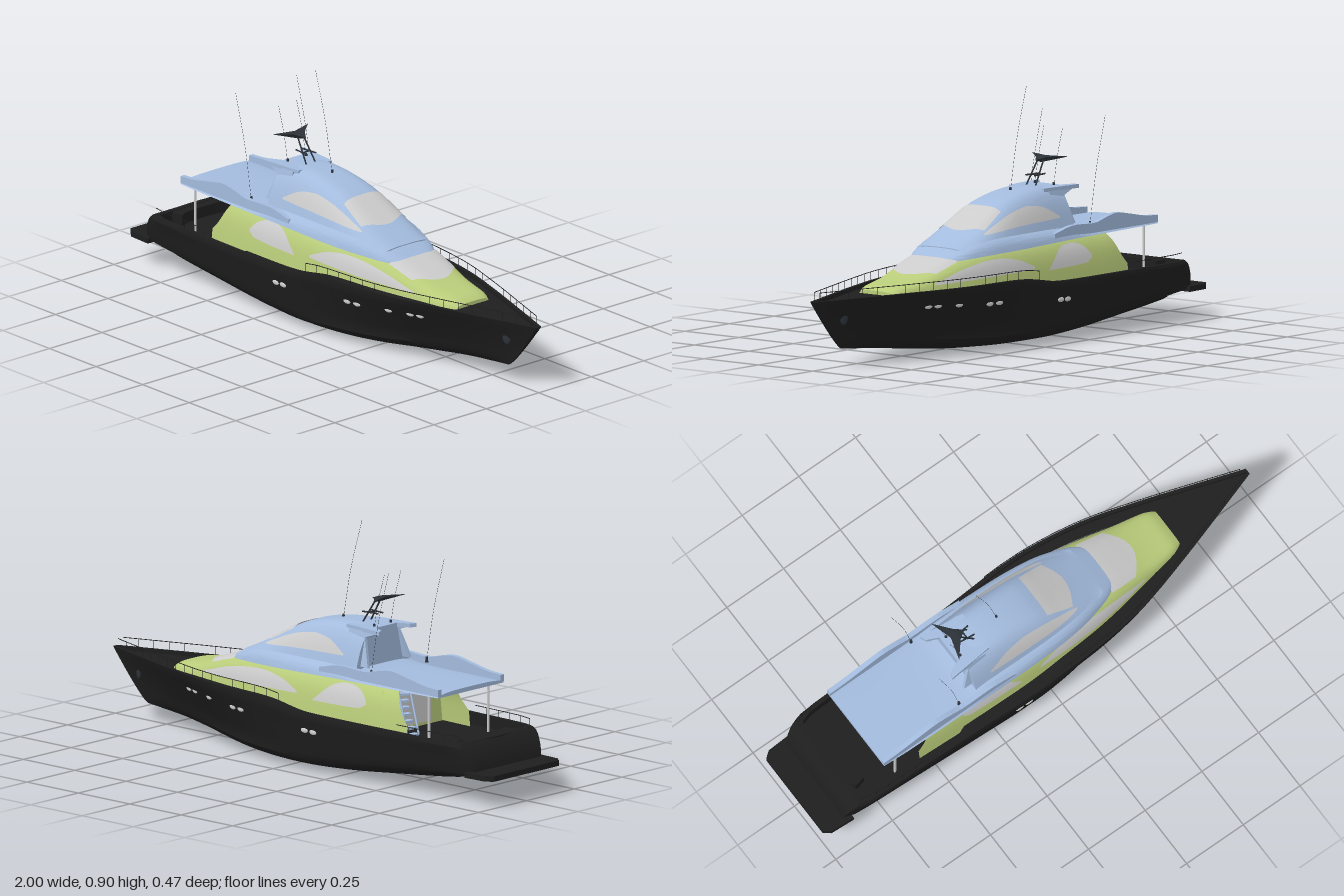
import * as THREE from 'three';
import { toCreasedNormals } from 'three/addons/utils/BufferGeometryUtils.js';

const mat = (color) => new THREE.MeshStandardMaterial({ color, side: THREE.DoubleSide });
const BLACK = mat(0x1e1e1e), BLUE = mat(0xa3bbdd), GREEN = mat(0xb9cc7a), GREY = mat(0xcccccc), DARK = mat(0x2c3238);
const V = (x, y, z) => new THREE.Vector3(x, y, z);
const lerp = THREE.MathUtils.lerp;

// smooth curve through [x, value] pairs
function curve(p) {
  const slope = (i) => {
    const a = p[Math.max(i - 1, 0)], b = p[Math.min(i + 1, p.length - 1)];
    return (b[1] - a[1]) / (b[0] - a[0]);
  };
  return (x) => {
    if (x <= p[0][0]) return p[0][1];
    if (x >= p[p.length - 1][0]) return p[p.length - 1][1];
    const i = p.findIndex((q) => q[0] > x) - 1, d = p[i + 1][0] - p[i][0], t = (x - p[i][0]) / d;
    return p[i][1] * (1 + 2 * t) * (1 - t) ** 2 + p[i + 1][1] * t * t * (3 - 2 * t)
      + d * (slope(i) * t * (1 - t) ** 2 + slope(i + 1) * t * t * (t - 1));
  };
}

// surface from a rule on a grid of nu by nv cells
function grid(nu, nv, fn, crease = 0.6) {
  const pos = [], idx = [];
  for (let i = 0; i <= nu; i++) for (let j = 0; j <= nv; j++) pos.push(...fn(i, j));
  for (let i = 0; i < nu; i++) for (let j = 0; j < nv; j++) {
    const a = i * (nv + 1) + j, b = a + nv + 1;
    idx.push(a, b, a + 1, b, b + 1, a + 1);
  }
  const g = new THREE.BufferGeometry();
  g.setAttribute('position', new THREE.Float32BufferAttribute(pos, 3));
  g.setIndex(idx);
  return toCreasedNormals(g, crease);
}

// hull lines
const beam = curve([[-0.9, 0.195], [-0.85, 0.21], [-0.6, 0.218], [-0.3, 0.226], [0, 0.235], [0.2, 0.228], [0.4, 0.198], [0.6, 0.142], [0.8, 0.078], [1, 0.012]]);
const sheer = curve([[-0.9, 0.218], [-0.3, 0.221], [-0.12, 0.228], [0.05, 0.252], [0.3, 0.254], [1, 0.25]]);
const keel = curve([[-0.9, 0.07], [-0.6, 0.04], [-0.3, 0.013], [0, 0.002], [0.3, 0.007], [0.6, 0.03], [0.8, 0.05], [1, 0.065]]);
const levels = [[0, 0], [0.24, 0], [0.5, 0.03], [0.69, 0.07], [0.79, 0.12], [0.845, 0.19], [0.87, 0.28], [0.9, 0.42], [0.93, 0.58], [0.955, 0.72], [0.985, 0.84], [1, 0.92], [0.98, 1]];
const sternX = (f) => (f < 0.25 ? -0.8 : -0.912 + 0.058 * f ** 3);
const stemX = (f) => lerp(0.84, 1, f ** 0.85);
function hullPoint(u, w, f) {
  const X = -0.9 + 1.9 * u, s = THREE.MathUtils.smoothstep(u, 0.4, 1);
  return [lerp(sternX(f), stemX(f), u), lerp(keel(X), sheer(X), f), beam(X) * w * lerp(1, 0.35 + 0.65 * f, s)];
}
const uAt = (x, f) => (x - sternX(f)) / (stemX(f) - sternX(f));

// rounded body with a flat bottom: base line, ridge line, half width, squareness n, inward lean k
function body(x0, x1, base, top, w, n, k) {
  const z = (x, y) => {
    const t = Math.min(1, (y - base(x)) / (top(x) - base(x)));
    return w(x) * (1 - k * t) * (1 - t ** n) ** (1 / n);
  };
  // c runs from -1 to 1 across the section
  const point = (x, c) => {
    const t = Math.max(0, 1 - Math.abs(c) ** n) ** (1 / n);
    return [x, lerp(base(x), top(x), t), w(x) * (1 - k * t) * c];
  };
  const N = 56, M = 40;
  const geo = grid(N + 2, M + 1, (i, j) => {
    const x = lerp(x0, x1, THREE.MathUtils.clamp((i - 1) / N, 0, 1));
    if (i === 0 || i === N + 2) return [x, lerp(base(x), top(x), 0.4), 0];
    const c = Math.cos((j > M ? 0 : j / M) * Math.PI);
    return point(x, Math.sign(c) * Math.abs(c) ** (2 / n));
  });
  return { geo, z, point, base, top };
}

export function createModel() {
  const root = new THREE.Group();
  const add = (name, geo, m) => {
    const mesh = new THREE.Mesh(geo, m);
    mesh.name = name;
    root.add(mesh);
    return mesh;
  };
  const tube = (name, pts, r, m, seg = 24) =>
    add(name, new THREE.TubeGeometry(new THREE.CatmullRomCurve3(pts), seg, r, 6), m);
  const bar = (name, a, b, r, m) => tube(name, [a, b], r, m, 1);
  const extrude = (pts, depth) =>
    new THREE.ExtrudeGeometry(new THREE.Shape(pts.map((p) => new THREE.Vector2(...p))), { depth, bevelEnabled: false });
  // flat plate drawn in plan (x, z), hanging down from y
  const plate = (name, pts, y, thick, m) => {
    const mesh = add(name, extrude(pts, thick).rotateX(Math.PI / 2), m);
    mesh.position.y = y;
    return mesh;
  };

  // deckhouse
  const house = body(-0.43, 0.645,
    curve([[-0.57, 0.175], [-0.4, 0.175], [-0.1, 0.2], [0.1, 0.225], [0.645, 0.235]]),
    curve([[-0.57, 0.375], [-0.3, 0.375], [0.1, 0.372], [0.25, 0.358], [0.33, 0.343], [0.41, 0.318], [0.49, 0.291], [0.56, 0.276], [0.62, 0.266], [0.645, 0.252]]),
    curve([[-0.57, 0.168], [-0.4, 0.174], [0, 0.178], [0.2, 0.168], [0.35, 0.147], [0.5, 0.118], [0.61, 0.096], [0.645, 0.078]]), 3.8, 0.12);
  add('deckhouse', house.geo, GREEN);
  add('saloonDoor', new THREE.BoxGeometry(0.006, 0.15, 0.16), GREY).position.set(-0.431, 0.262, 0.03);

  // flybridge deck running forward into the brow
  const brow = body(-0.73, 0.345,
    curve([[-0.73, 0.362], [-0.3, 0.358], [0, 0.35], [0.2, 0.342], [0.345, 0.33]]),
    curve([[-0.73, 0.378], [-0.36, 0.382], [-0.25, 0.405], [0, 0.415], [0.14, 0.412], [0.22, 0.396], [0.28, 0.373], [0.345, 0.342]]),
    curve([[-0.73, 0.172], [-0.6, 0.177], [-0.3, 0.178], [0, 0.173], [0.15, 0.159], [0.25, 0.135], [0.31, 0.112], [0.345, 0.085]]), 3.2, 0.09);
  add('flybridgeDeck', brow.geo, BLUE);

  // wheelhouse
  const cabin = body(-0.3, 0.29, () => 0.365,
    curve([[-0.3, 0.53], [-0.2, 0.54], [-0.1, 0.533], [0, 0.512], [0.06, 0.488], [0.12, 0.456], [0.2, 0.414], [0.29, 0.372]]),
    curve([[-0.3, 0.145], [-0.1, 0.15], [0.1, 0.15], [0.2, 0.14], [0.29, 0.1]]), 4.2, 0.33);
  add('wheelhouse', cabin.geo, BLUE);
  plate('roofWing', [[-0.2, -0.08], [-0.375, -0.098], [-0.365, -0.075], [-0.32, -0.055], [-0.32, 0.055], [-0.365, 0.075], [-0.375, 0.098], [-0.2, 0.08]], 0.535, 0.014, BLUE);

  // whatever is mirrored on both sides
  const crest = curve([[-0.73, 0.392], [-0.66, 0.397], [-0.58, 0.412], [-0.5, 0.425], [-0.44, 0.416], [-0.38, 0.402], [-0.25, 0.405], [-0.15, 0.385]]);
  const wave = [[-0.15, 0.366], [-0.73, 0.366]];
  for (let x = -0.73; x < -0.149; x += 0.02) wave.push([x, crest(x)]);
  const wingTop = curve([[-0.57, 0.235], [-0.54, 0.27], [-0.51, 0.325], [-0.48, 0.362], [-0.42, 0.366]]);
  const floorY = (X) => (X < -0.44 ? 0.175 : sheer(X) - 0.014);
  for (const s of [1, -1]) {
    // hull with bulwark rim, side decks and sunken cockpit, closed at both ends
    add('hull', grid(82, levels.length + 2, (i, j) => {
      const u = THREE.MathUtils.clamp((i - 1) / 80, 0, 1), X = -0.9 + 1.9 * u;
      let p;
      if (j < levels.length) p = hullPoint(u, ...levels[j]);
      else {
        const k = j - levels.length, [x, y, z] = hullPoint(u, 0.98, 1);
        p = [x + 0.02 * (1 - u), k ? floorY(X) : y, k === 2 ? 0 : Math.max(0, z - 0.014)];
      }
      return [p[0], p[1], i === 0 || i === 82 ? 0 : p[2] * s];
    }, 0.55), BLACK);

    // portholes and anchor pocket
    const onHull = (name, x, f, w, size, m) => {
      const p = hullPoint(uAt(x, f), w, f);
      const mesh = add(name, new THREE.SphereGeometry(1, 20, 10), m);
      mesh.scale.set(...size);
      mesh.position.set(p[0], p[1], p[2] * s);
      return mesh;
    };
    for (const [x, f] of [[-0.165, 0.68], [-0.125, 0.68], [0.2, 0.7], [0.245, 0.7], [0.385, 0.73], [0.475, 0.74], [0.515, 0.74]])
      onHull('porthole', x, f, 0.95, [0.017, 0.009, 0.004], GREY).rotation.y = s * Math.max(0, x) * 0.6;
    onHull('anchorPocket', 0.86, 0.62, 0.94, [0.016, 0.022, 0.004], DARK).rotation.y = s * 0.35;

    // deck rails
    const rail = (x0, x1, h, n) => {
      const pts = [];
      for (let i = 0; i <= n; i++) {
        const [x, y, z] = hullPoint(uAt(lerp(x0, x1, i / n), 1), 0.98, 1);
        const q = V(x, y, Math.max(0.002, z - 0.007) * s), t = q.clone().setY(y + h);
        pts.push(t);
        bar('railPost', q, t, 0.0008, BLACK);
      }
      tube('rail', pts, 0.0014, BLACK, 60);
    };
    rail(-0.84, -0.56, 0.026, 5);
    rail(0, 0.975, 0.031, 17);

    bar('overhangPost', V(-0.67, 0.175, 0.155 * s), V(-0.67, 0.37, 0.155 * s), 0.005, GREY);

    // side wings sheltering the cockpit
    add('deckhouseWing', grid(16, 8, (i, j) => {
      const x = lerp(-0.57, -0.42, i / 16), y = lerp(0.176, wingTop(x), j / 8);
      return [x, y, s * house.z(x, y)];
    }), GREEN);

    // roof struts and wavy flybridge side
    const strut = add('roofStrut', extrude([[-0.36, 0.527], [-0.3, 0.505], [-0.335, 0.4], [-0.24, 0.4], [-0.22, 0.527]], 0.012), BLUE);
    strut.rotation.x = -s * 0.22;
    strut.position.set(0, 0.01, s * 0.197 - 0.006);
    add('flybridgeSide', extrude(wave, 0.018), BLUE).position.z = s * 0.163 - 0.009;
  }

  // stern platform, transom sofa
  plate('swimPlatform', [[-0.88, -0.195], [-0.975, -0.19], [-1, -0.17], [-1, 0.17], [-0.975, 0.19], [-0.88, 0.195]], 0.12, 0.02, BLACK);
  const sofa = [];
  for (let i = 0; i <= 12; i++) { const a = lerp(-1, 1, i / 12); sofa.push([-0.86 + 0.04 * a ** 4, a * 0.13]); }
  for (let i = 12; i >= 0; i--) { const a = lerp(-1, 1, i / 12); sofa.push([-0.8 + 0.02 * a ** 4, a * 0.12]); }
  plate('transomSofa', sofa, 0.216, 0.045, BLACK);

  // side glass follows the body between two height lines
  const sideGlass = (name, b, x0, x1, lo, hi, cap) => {
    for (const s of [1, -1]) add(name, grid(28, 6, (i, j) => {
      const x = lerp(x0, x1, i / 28), lim = lerp(b.base(x), b.top(x), cap);
      const y = lerp(Math.min(lo(x), lim), Math.min(hi(x), lim), j / 6);
      return [x, y, s * (b.z(x, y) + 0.003)];
    }), GREY);
  };
  sideGlass('saloonWindow', house, -0.37, -0.12, curve([[-0.37, 0.28], [-0.34, 0.264], [-0.12, 0.258]]),
    curve([[-0.37, 0.29], [-0.34, 0.32], [-0.28, 0.338], [-0.2, 0.325], [-0.12, 0.262]]), 0.88);
  sideGlass('forwardWindow', house, -0.04, 0.46, curve([[-0.04, 0.272], [0.46, 0.262]]),
    curve([[-0.04, 0.28], [0.04, 0.312], [0.15, 0.326], [0.3, 0.31], [0.46, 0.266]]), 0.72);
  sideGlass('wheelhouseWindow', cabin, -0.23, 0.17, curve([[-0.23, 0.432], [0, 0.425], [0.17, 0.41]]),
    curve([[-0.23, 0.438], [-0.15, 0.478], [-0.05, 0.488], [0.05, 0.47], [0.17, 0.412]]), 0.76);

  // windscreens lie on the top surface, k0 and k1 are their half widths as shares of the body
  const screen = (name, b, x0, x1, k0, k1, sweep) => add(name, grid(14, 20, (i, j) => {
    const f = lerp(-1, 1, j / 20), x = lerp(x0, x1 - sweep * f * f, i / 14);
    const p = b.point(x, f * lerp(k0, k1, i / 14));
    return [p[0] + 0.002, p[1] + 0.003, p[2]];
  }), GREY);
  screen('upperWindscreen', cabin, 0.05, 0.19, 0.82, 0.9, 0.035);
  screen('lowerWindscreen', house, 0.32, 0.485, 0.82, 0.86, 0.055);

  // curved stairs to the flybridge
  for (let i = 0; i < 9; i++) {
    const a = i / 8 * 1.3;
    const step = add('stair', new THREE.BoxGeometry(0.024, 0.008, 0.06), BLUE);
    step.position.set(-0.55 + 0.1 * Math.sin(a), 0.19 + i * 0.022, -0.12 + 0.07 * (1 - Math.cos(a)));
    step.rotation.y = -a * 0.6;
  }
  for (const z of [-0.15, -0.09]) bar('stairRail', V(-0.56, 0.19, z), V(-0.46, 0.37, z + 0.05), 0.004, BLUE);

  // radar mast
  for (const s of [1, -1]) {
    bar('mastLeg', V(-0.22, 0.53, 0.022 * s), V(-0.28, 0.625, 0.013 * s), 0.003, DARK);
    bar('mastBrace', V(-0.29, 0.574, 0.012 * s), V(-0.22, 0.574, 0.02 * s), 0.003, DARK);
  }
  bar('mastCrossbar', V(-0.25, 0.574, -0.02), V(-0.25, 0.574, 0.02), 0.003, DARK);
  const tips = [[-0.335, 0.085], [-0.285, 0.025], [-0.25, 0], [-0.285, -0.025], [-0.335, -0.085], [-0.31, 0]];
  add('mastWing', grid(2, 6, (i, j) => {
    const [x, z] = tips[j % 6];
    if (i === 1) return [x, 0.637 - Math.max(0, x + 0.29) * 0.3, z];
    return [-0.28, i ? 0.615 : 0.637, 0];
  }, 0.3), DARK);

  // whip antennas with their feet
  const whip = (x, y, z, dx, top) => {
    tube('antenna', [V(x, y, z), V(x + dx * 0.4, lerp(y, top, 0.5), z), V(x + dx, top, z)], 0.0005, DARK, 8);
    add('antennaFoot', new THREE.CylinderGeometry(0.004, 0.006, 0.02, 10), DARK).position.set(x, y + 0.004, z);
  };
  whip(-0.11, 0.53, 0, -0.09, 0.9);
  for (const s of [1, -1]) {
    whip(-0.38, 0.39, 0.145 * s, -0.085, 0.775);
    whip(-0.3, 0.53, 0.043 * s, -0.05, 0.735);
  }
  return root;
}
